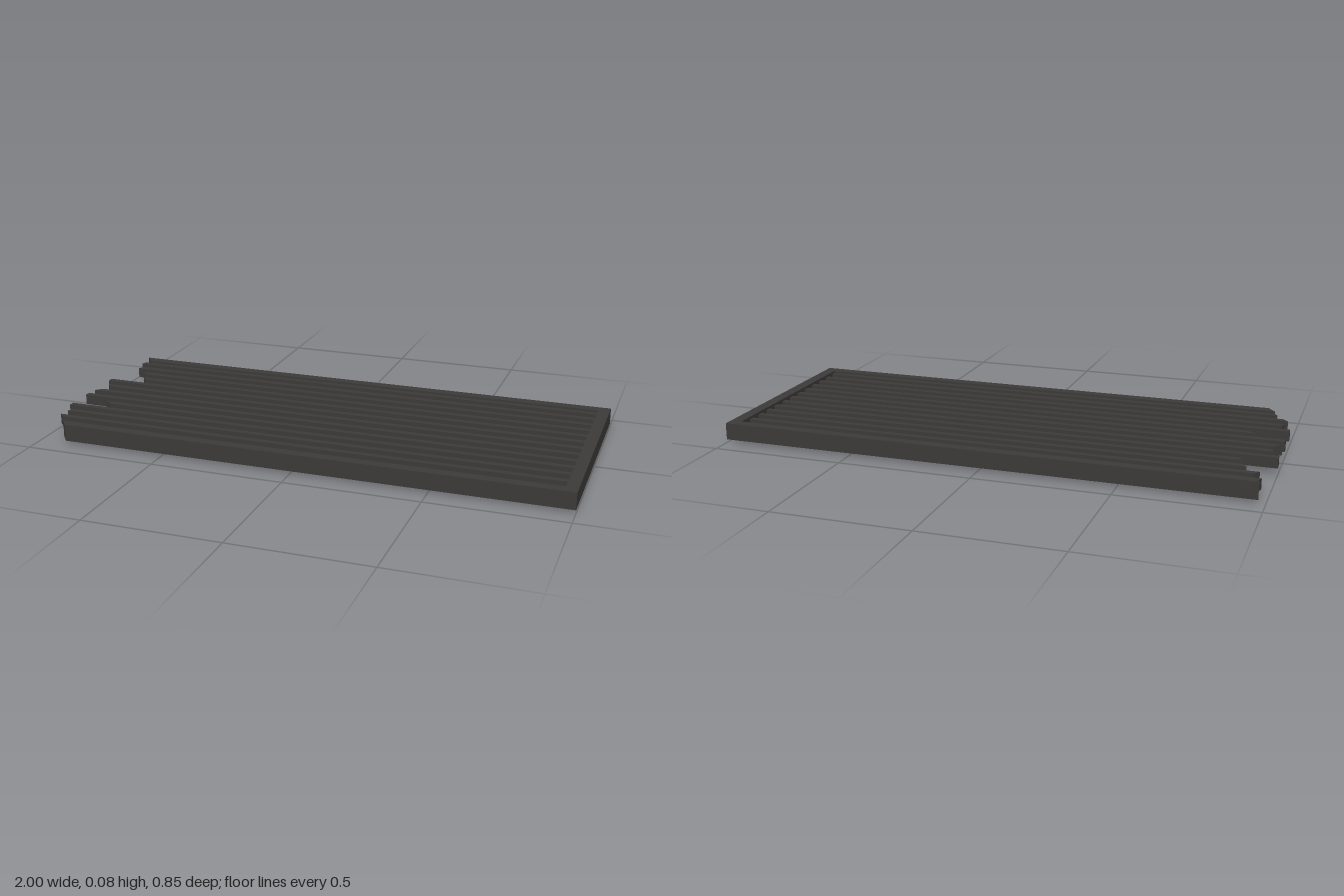
import * as THREE from 'three';

const material = new THREE.MeshStandardMaterial({ color: 0x3c3a38 });

// Extrudes an outline given as [x, z] points upward from y0 to y1.
function slab(name, points, y0, y1) {
  const shape = new THREE.Shape(points.map(([x, z]) => new THREE.Vector2(x, -z)));
  const geometry = new THREE.ExtrudeGeometry(shape, { depth: y1 - y0, bevelEnabled: false });
  geometry.rotateX(-Math.PI / 2).translate(0, y0, 0);
  const mesh = new THREE.Mesh(geometry, material);
  mesh.name = name;
  return mesh;
}

export function createModel() {
  const model = new THREE.Group();
  model.name = 'brokenGrate';

  // Three-sided frame, its two rails snapped off at an angle
  model.add(slab('frame', [
    [-0.89, 0.424], [1, 0.424], [1, -0.424], [-0.975, -0.424],
    [-0.945, -0.385], [0.957, -0.385], [0.957, 0.385], [-0.92, 0.385],
  ], 0.012, 0.075));

  // Support bar under the whole ends of the slats
  model.add(slab('crossBar', [
    [0.912, 0.384], [0.957, 0.384], [0.957, -0.384], [0.912, -0.384],
  ], 0, 0.028));

  // Slats from back to front: x of the broken end at the back and front edge
  const brokenEnds = [
    [-0.968, -0.975], [-0.945, -0.96], [-0.91, -0.895], [-0.885, -0.868],
    [-1, -1], [-0.98, -0.962], [-0.97, -0.995], [-1, -1], [-0.888, -0.857],
    [-1, -1], [-0.963, -0.973], [-0.98, -0.958], [-0.932, -0.918],
  ];
  const slats = new THREE.Group();
  slats.name = 'slats';
  brokenEnds.forEach(([back, front], i) => {
    const z = (i - 6) * 0.0625;
    const half = 0.012;
    slats.add(slab('slat', [
      [front, z + half], [0.957, z + half], [0.957, z - half], [back, z - half],
    ], 0.027, 0.066));
  });
  model.add(slats);
  return model;
}
